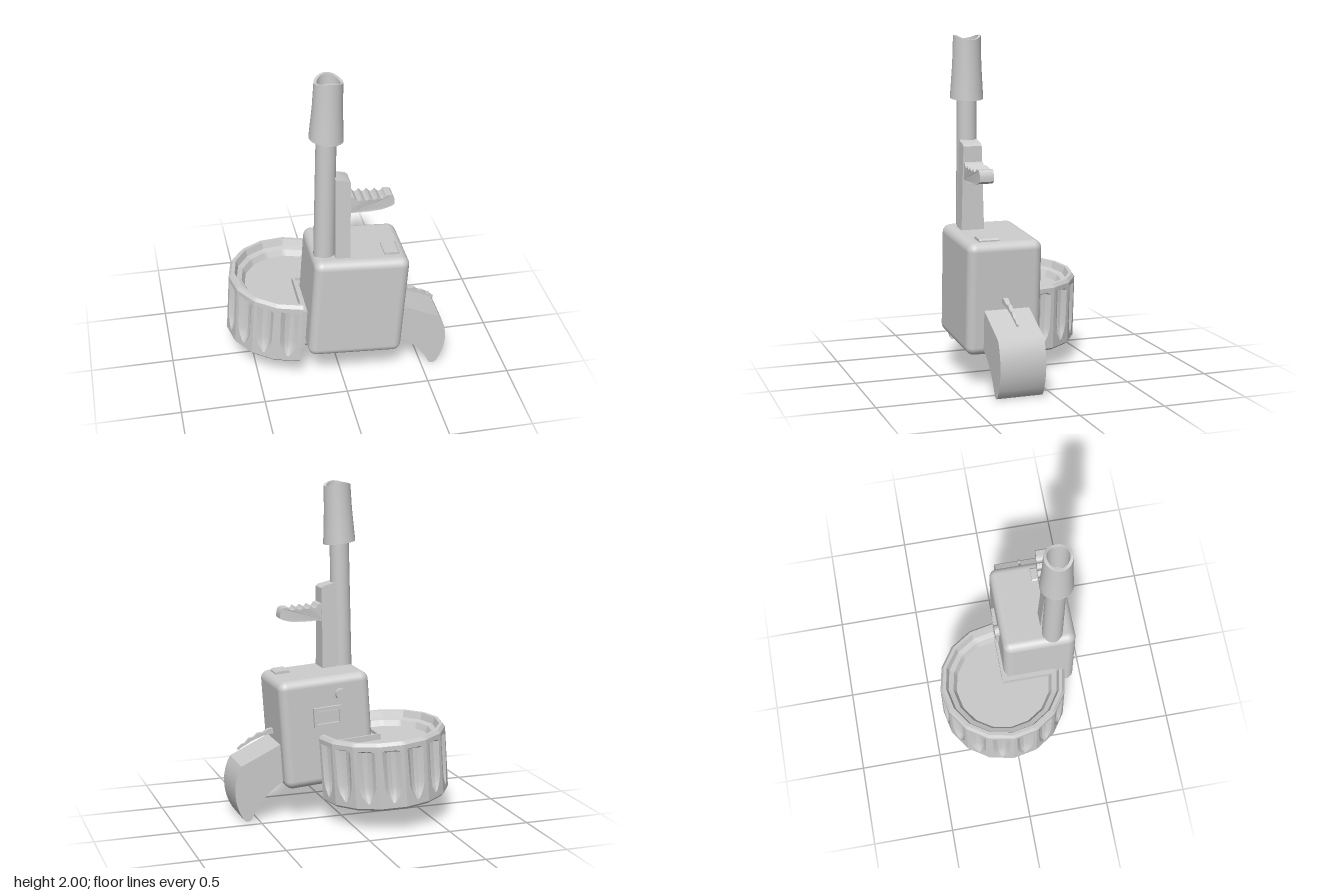
import * as THREE from 'three';
import { toCreasedNormals } from 'three/addons/utils/BufferGeometryUtils.js';
import { RoundedBoxGeometry } from 'three/addons/geometries/RoundedBoxGeometry.js';

const grey = new THREE.MeshStandardMaterial({ color: 0xcccccc, side: THREE.DoubleSide });
const TILT = -0.068;

function add(parent, name, geometry, x = 0, y = 0, z = 0) {
  const mesh = new THREE.Mesh(geometry, grey);
  mesh.name = name;
  mesh.position.set(x, y, z);
  parent.add(mesh);
  return mesh;
}

function group(parent, name, x, y, z, tilt) {
  const g = new THREE.Group();
  g.name = name;
  g.position.set(x, y, z);
  g.rotation.z = tilt;
  parent.add(g);
  return g;
}

const outline = points => new THREE.Shape(points.map(p => new THREE.Vector2(...p)));

// Side outline in x and y, centred on z = 0; halfWidth(x, y) gives its thickness
function slab(shape, halfWidth, crease = 0.5) {
  const geo = new THREE.ExtrudeGeometry(shape, { depth: 2, bevelEnabled: false, curveSegments: 8 });
  geo.translate(0, 0, -1);
  const p = geo.attributes.position;
  for (let i = 0; i < p.count; i++) p.setZ(i, p.getZ(i) * halfWidth(p.getX(i), p.getY(i)));
  return toCreasedNormals(geo, crease);
}

// Drum cross-section from the lower centre around to the upper centre:
// radius, height, flute half width, flute depth
const DRUM_R = 0.39;
const drumRows = [
  [0, 0.085], [0.285, 0.085], [0.305, 0.05], [0.335, 0.04], [0.35, 0], [0.375, 0],
  [DRUM_R, 0.015], [DRUM_R, 0.045, 0.06, 0], [DRUM_R, 0.09, 0.24, 0.022],
  [DRUM_R, 0.14, 0.33, 0.03], [DRUM_R, 0.35, 0.36, 0.03], [DRUM_R, 0.362, 0.36],
  [DRUM_R, 0.39], [0.375, 0.41], [0.355, 0.41], [0.34, 0.37], [0.31, 0.36],
  [0.29, 0.325], [0, 0.325],
];

// Three quarters of a 16-sided drum with one scooped flute on each facet
function drumShell() {
  const facets = 12, step = Math.PI / 8, perFacet = 6;
  const point = (row, col) => {
    const [r, y, w = 0.36, depth = 0] = drumRows[row];
    const f = Math.min(Math.floor(col / perFacet), facets - 1);
    const k = col - f * perFacet;
    const s = (k - 3) / 2;
    const t = k === 0 ? 0 : k === 6 ? 1 : 0.5 + s * w;
    const dent = k === 0 || k === 6 ? 0 : depth * (1 - s * s);
    const a = Math.PI / 2 + f * step, b = a + step, m = a + step / 2;
    return [
      r * (Math.cos(a) * (1 - t) + Math.cos(b) * t) - dent * Math.cos(m), y,
      r * (Math.sin(a) * (1 - t) + Math.sin(b) * t) - dent * Math.sin(m),
    ];
  };
  const pos = [];
  for (let i = 0; i < drumRows.length - 1; i++) {
    for (let j = 0; j < facets * perFacet; j++) {
      const a = point(i, j), b = point(i + 1, j), c = point(i + 1, j + 1), d = point(i, j + 1);
      if (i < drumRows.length - 2) pos.push(...a, ...b, ...c);
      else pos.push(...a, ...b, ...d);
      if (i > 0 && i < drumRows.length - 2) pos.push(...a, ...c, ...d);
    }
  }
  const geo = new THREE.BufferGeometry();
  geo.setAttribute('position', new THREE.Float32BufferAttribute(pos, 3));
  return toCreasedNormals(geo, 0.35);
}

// Flared muzzle, hollow, with a saddle-shaped lip
function muzzleGeometry() {
  const profile = [[0.055, 0], [0.098, 0], [0.094, 0.06], [0.085, 0.2], [0.081, 0.355],
    [0.064, 0.355], [0.058, 0.1], [0, 0.1]].map(p => new THREE.Vector2(...p));
  const geo = new THREE.LatheGeometry(profile, 24);
  const p = geo.attributes.position;
  for (let i = 0; i < p.count; i++) {
    const x = p.getX(i), y = p.getY(i), z = p.getZ(i);
    if (y > 0.3) p.setY(i, y + 0.012 * (z * z - x * x) / (x * x + z * z));
    else if (y < 0.08) p.setY(i, y - 0.08 * x);
  }
  return toCreasedNormals(geo, 0.6);
}

export function createModel() {
  const model = new THREE.Group();
  model.name = 'model';

  // Rounded body with its fittings
  const body = group(model, 'body', 0.087, 0.54, 0.203, TILT);
  add(body, 'bodyShell', new RoundedBoxGeometry(0.565, 0.66, 0.445, 5, 0.05));
  add(body, 'rearSight', slab(outline([[-0.045, -0.02], [0.045, -0.02], [0.045, 0.012],
    [0.035, 0.02], [-0.035, 0.02], [-0.045, 0.012]]), () => 0.06), 0.184, 0.326, 0.087);
  const button = add(body, 'button', new THREE.CylinderGeometry(0.035, 0.035, 0.05, 16), -0.092, 0.22, -0.225);
  button.rotation.x = Math.PI / 2;
  add(body, 'switchPlate', new THREE.BoxGeometry(0.14, 0.07, 0.03), 0, 0.095, -0.216);
  for (const s of [-1, 1]) {
    add(body, 'switchFrameSide', new THREE.BoxGeometry(0.018, 0.12, 0.04), s * 0.079, 0.095, -0.222);
    add(body, 'switchFrameRail', new THREE.BoxGeometry(0.14, 0.02, 0.04), 0, 0.095 + s * 0.05, -0.222);
  }

  // Barrel and muzzle
  const barrel = new THREE.CylinderGeometry(0.058, 0.063, 0.9, 20);
  add(model, 'barrel', barrel, -0.093, 1.25, 0.287).rotation.z = -0.018;
  add(model, 'muzzle', muzzleGeometry(), -0.086, 1.635, 0.287).rotation.z = -0.04;

  // Rail beside the barrel, wider towards the body
  const rail = outline([[-0.045, 0.84], [0.042, 0.84], [0.042, 1.1], [0.045, 1.3], [0.045, 1.365],
    [0.03, 1.378], [-0.045, 1.395]]);
  add(model, 'rail', slab(rail, (x, y) => 0.055 * (1 + 0.5 * (1.39 - y))), 0, 0, 0.293);

  // Foregrip with finger notches on its upper edge, narrowing outwards
  const grip = new THREE.Shape();
  grip.moveTo(0.02, 1.17);
  grip.lineTo(0.02, 1.28);
  grip.lineTo(0.065, 1.268);
  for (let i = 0; i < 4; i++) {
    const x = 0.065 + i * 0.046;
    grip.quadraticCurveTo(x + 0.023, 1.225 - i * 0.003, x + 0.046, 1.262 - i * 0.002);
  }
  grip.lineTo(0.285, 1.255);
  grip.quadraticCurveTo(0.305, 1.24, 0.302, 1.19);
  grip.quadraticCurveTo(0.25, 1.162, 0.15, 1.165);
  grip.lineTo(0.02, 1.17);
  add(model, 'foregrip', slab(grip, x => 0.056 - 0.09 * Math.max(0, x - 0.14)), 0, 0, 0.291);

  // Curved handle
  const handle = new THREE.Shape();
  handle.moveTo(0.3, 0.49);
  handle.lineTo(0.365, 0.462);
  handle.lineTo(0.605, 0.348);
  handle.bezierCurveTo(0.664, 0.25, 0.658, 0.12, 0.597, 0.02);
  handle.quadraticCurveTo(0.57, -0.012, 0.545, 0.016);
  handle.quadraticCurveTo(0.49, 0.15, 0.35, 0.23);
  handle.lineTo(0.3, 0.25);
  add(model, 'handle', slab(handle, () => 0.135, 0.4), 0, 0, 0.195);

  // Thin wavy trigger above the handle, slimmest at its tip
  const trigger = outline([[0.33, 0.532], [0.4, 0.527], [0.43, 0.508], [0.465, 0.506], [0.49, 0.483],
    [0.52, 0.479], [0.545, 0.45], [0.565, 0.447], [0.59, 0.425], [0.588, 0.41], [0.565, 0.425],
    [0.5, 0.462], [0.43, 0.49], [0.33, 0.505]]);
  add(model, 'trigger', slab(trigger, x => 0.004 + 0.055 * Math.min(0.2, 0.6 - x)), 0, 0, 0.21);

  // Fluted drum, notched where the body sits
  const drum = group(model, 'drum', -0.262, 0.144, -0.04, TILT);
  add(drum, 'drumShell', drumShell());
  const section = new THREE.ShapeGeometry(outline(drumRows.map(([r, y]) => [r, y])));
  for (const side of [1, -1]) {
    const turn = side === 1 ? 0 : -Math.PI / 2;
    add(drum, 'notchFace', section).rotation.y = turn;
    // Ledges filling the gap between the notch and the body
    const ledge = new THREE.BoxGeometry(0.34, 0.27, 0.036).translate(0.17, 0.205, side * 0.018);
    add(drum, 'notchLedge', ledge).rotation.y = turn;
    const lip = new THREE.BoxGeometry(0.33, 0.31, 0.014).translate(0.165, 0.205, side * 0.008);
    add(drum, 'notchLip', lip).rotation.y = turn;
  }
  return model;
}
